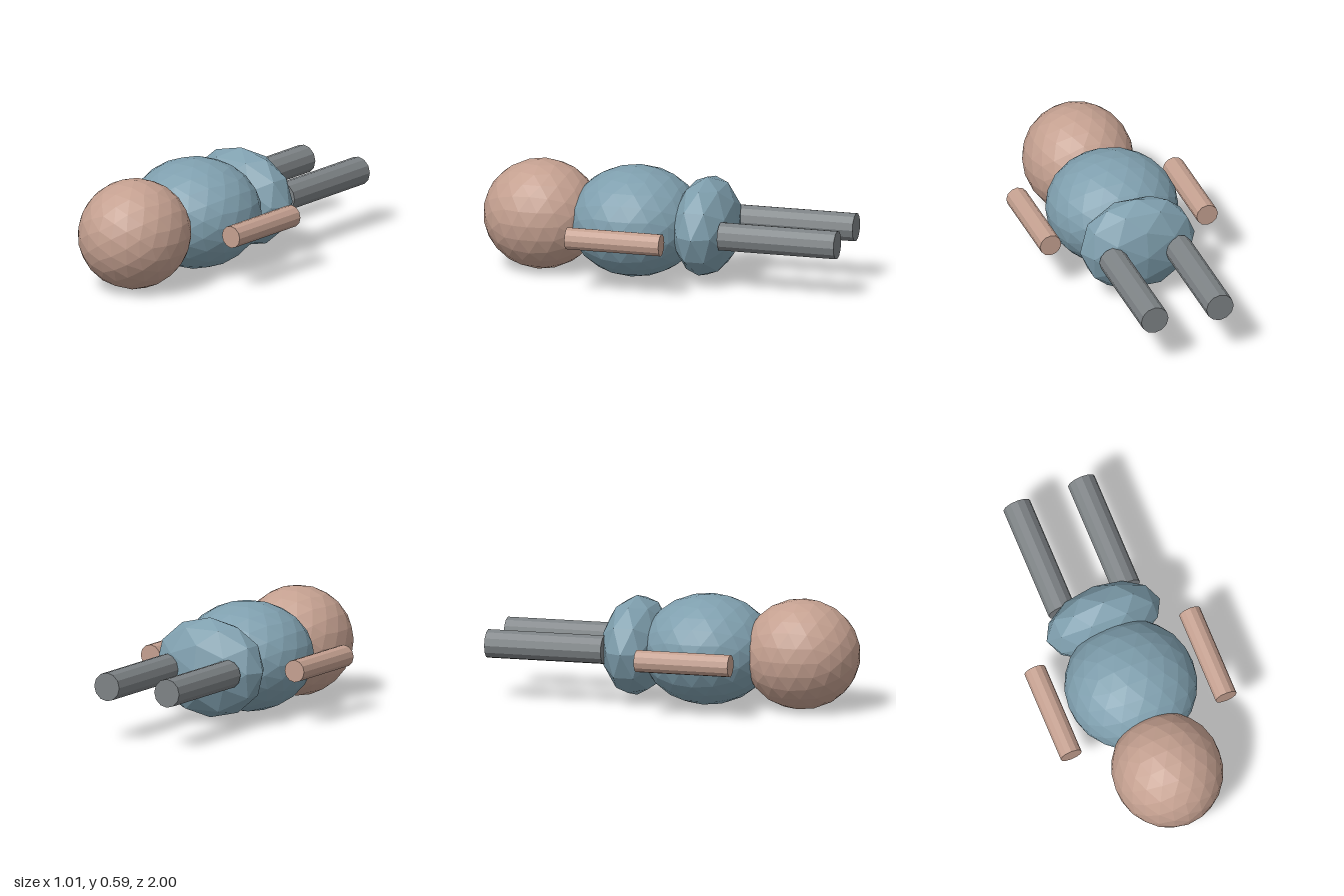
import * as THREE from 'three';

const material = (name, color) => {
  const m = new THREE.MeshStandardMaterial({ color, flatShading: true });
  m.name = name;
  return m;
};

// Faceted ball: 80 faces, or 320 when refined by a second even split
function facetedBall(fine) {
  const coarse = new THREE.IcosahedronGeometry(1, 1);
  if (!fine) return coarse;
  const corners = Array.from(coarse.attributes.position.array);
  const order = Array.from({ length: corners.length / 3 }, (_, i) => i);
  const ball = new THREE.PolyhedronGeometry(corners, order, 1, 1);
  ball.computeVertexNormals();
  return ball;
}

export function createModel() {
  const model = new THREE.Group();
  model.name = 'lyingFigure';
  const skin = material('skin', 0xc4a090);
  const cloth = material('blueCloth', 0x7f9fae);
  const trousers = material('greyTrousers', 0x7d8285);
  const midY = 0.3;

  const add = (name, geometry, mat, x, z) => {
    const mesh = new THREE.Mesh(geometry, mat);
    mesh.name = name;
    mesh.position.set(x, midY, z);
    model.add(mesh);
  };

  // Head, torso and hips: overlapping ellipsoids along z
  add('head', facetedBall(true).scale(0.296, 0.296, 0.315), skin, 0, 0.685);
  add('torso', facetedBall(true).scale(0.355, 0.296, 0.355), cloth, 0, 0.165);
  add('hips', facetedBall(false).scale(0.325, 0.27, 0.175), cloth, 0, -0.228);

  // Limbs: twelve-sided rods lying along z
  const rod = (radius, length) =>
    new THREE.CylinderGeometry(radius, radius, length, 12).rotateX(Math.PI / 2);
  for (const [side, s] of [['left', 1], ['right', -1]]) {
    add(side + 'Arm', rod(0.06, 0.52), skin, s * 0.444, 0.16);
    add(side + 'Leg', rod(0.077, 0.645), trousers, s * 0.185, -0.6775);
  }
  return model;
}
